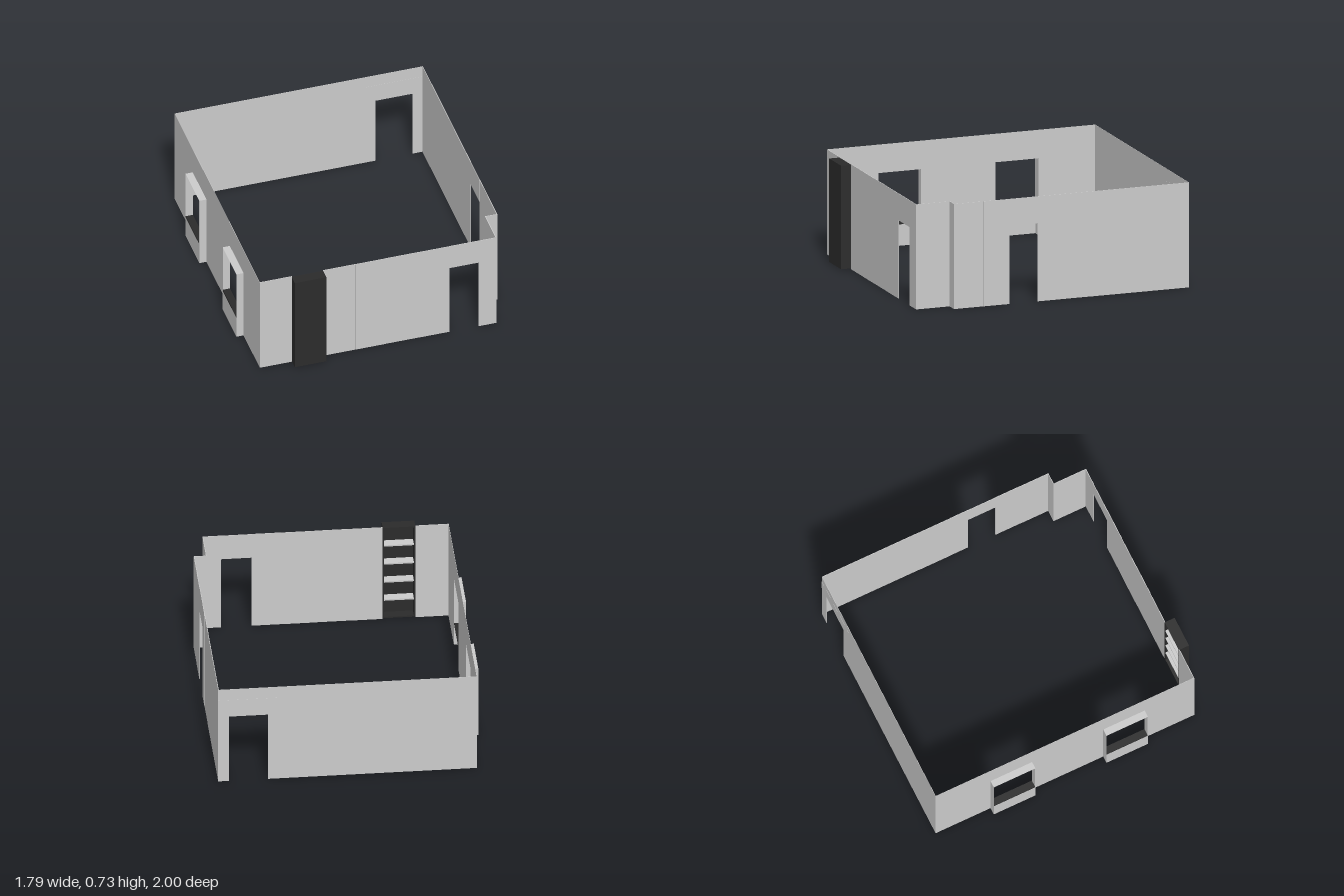
import * as THREE from 'three';

const H = 0.725; // wall height
const T = 0.004; // sheet thickness
const grey = new THREE.MeshStandardMaterial({ color: 0xcccccc, flatShading: true, side: THREE.DoubleSide });
const dark = new THREE.MeshStandardMaterial({ color: 0x2b2b2b, flatShading: true, side: THREE.DoubleSide });

// Box given by its limits on each axis
function block(parent, name, [x0, x1], [y0, y1], [z0, z1], material = grey) {
  const mesh = new THREE.Mesh(new THREE.BoxGeometry(x1 - x0, y1 - y0, z1 - z0), material);
  mesh.name = name;
  mesh.position.set((x0 + x1) / 2, (y0 + y1) / 2, (z0 + z1) / 2);
  parent.add(mesh);
  return mesh;
}

function group(parent, name) {
  const g = new THREE.Group();
  g.name = name;
  parent.add(g);
  return g;
}

export function createModel() {
  const room = new THREE.Group();
  room.name = 'room';

  // Front wall: narrow panels, a bookcase gap and a doorway
  const front = group(room, 'frontWall');
  const frontSeams = [-0.85, -0.625, -0.405, -0.18, 0.035, 0.26, 0.48, 0.685, 0.81];
  for (let i = 0; i < frontSeams.length - 1; i++) {
    if (i === 1) continue;
    const door = i === 6;
    const z = 0.926 + (i % 2) * 0.001;
    block(front, door ? 'frontDoorLintel' : 'frontPanel', [frontSeams[i], frontSeams[i + 1]], [door ? 0.54 : 0, H], [z, z + T]);
  }

  // Stepped corner
  const corner = group(room, 'steppedCorner');
  block(corner, 'cornerSide', [0.81 - T, 0.81], [0, H], [0.69, 0.93]);
  block(corner, 'cornerReturn', [0.81 - T, 0.892], [0, H], [0.69 - T, 0.69]);

  // Right-hand wall: panels with a doorway, then a plain stretch
  const side = group(room, 'sideWall');
  const sideSeams = [0.69, 0.48, 0.293, 0.09, -0.04, -0.28, -1];
  for (let i = 0; i < sideSeams.length - 1; i++) {
    const door = i === 2;
    const x = 0.888 + (i % 2) * 0.001;
    block(side, door ? 'sideDoorLintel' : 'sidePanel', [x, x + T], [door ? 0.54 : 0, H], [sideSeams[i + 1], sideSeams[i]]);
  }

  // Back wall with a doorway
  const back = group(room, 'backWall');
  const backZ = [-1, -1 + T / 2];
  block(back, 'backPanel', [-0.85, 0.558], [0, H], backZ);
  block(back, 'backDoorPost', [0.82, 0.892], [0, H], backZ);
  block(back, 'backDoorHeader', [0.558, 0.82], [0.51, H], backZ);
  block(back, 'backDoorLintel', [0.48, 0.892], [0.51, 0.64], [-1.001, -1 + T / 2 + 0.001]);

  // Window wall: solid stretches between two projecting bays
  const windowWall = group(room, 'windowWall');
  const wallX = [-0.85, -0.85 + T / 2];
  const bays = [[-0.59, -0.28], [0.25, 0.56]];
  for (const [z0, z1] of [[-1, -0.59], [-0.28, 0.25], [0.56, 0.93]]) {
    block(windowWall, 'windowWallPanel', wallX, [0, H], [z0, z1]);
  }
  for (const [z0, z1] of bays) {
    const bay = group(windowWall, 'windowBay');
    const depth = [-0.9, -0.85];
    block(bay, 'wallAboveWindow', wallX, [0.53, H], [z0, z1]);
    block(bay, 'windowHead', depth, [0.53 - T / 2, 0.53], [z0, z1]);
    block(bay, 'windowJamb', depth, [0, 0.53], [z0, z0 + T / 2]);
    block(bay, 'windowJamb', depth, [0, 0.53], [z1 - T / 2, z1]);
    block(bay, 'windowParapet', [-0.9, -0.9 + T / 2], [0, 0.16], [z0, z1]);
    block(bay, 'windowSill', depth, [0.16, 0.17], [z0 + T / 2, z1 - T / 2], dark);
  }

  // Bookcase set into the front wall, open towards the room
  const bookcase = group(room, 'bookcase');
  const [l, r, b, t, z0, z1, s] = [-0.625, -0.405, 0.005, 0.72, 0.926, 1, 0.01];
  block(bookcase, 'bookcaseSide', [l, l + s], [b, t], [z0, z1], dark);
  block(bookcase, 'bookcaseSide', [r - s, r], [b, t], [z0, z1], dark);
  block(bookcase, 'bookcaseBack', [l + s, r - s], [b, t], [z1 - s, z1], dark);
  block(bookcase, 'bookcaseTop', [l + s, r - s], [t - s, t], [z0, z1 - s], dark);
  block(bookcase, 'bookcaseBase', [l + s, r - s], [b, b + s], [z0, z1 - s], dark);
  for (let i = 1; i <= 4; i++) {
    const y = b + (t - b) * i / 5;
    block(bookcase, 'shelf', [l + s, r - s], [y - s / 2, y + s / 2], [z0, z1 - s]);
  }

  return room;
}
